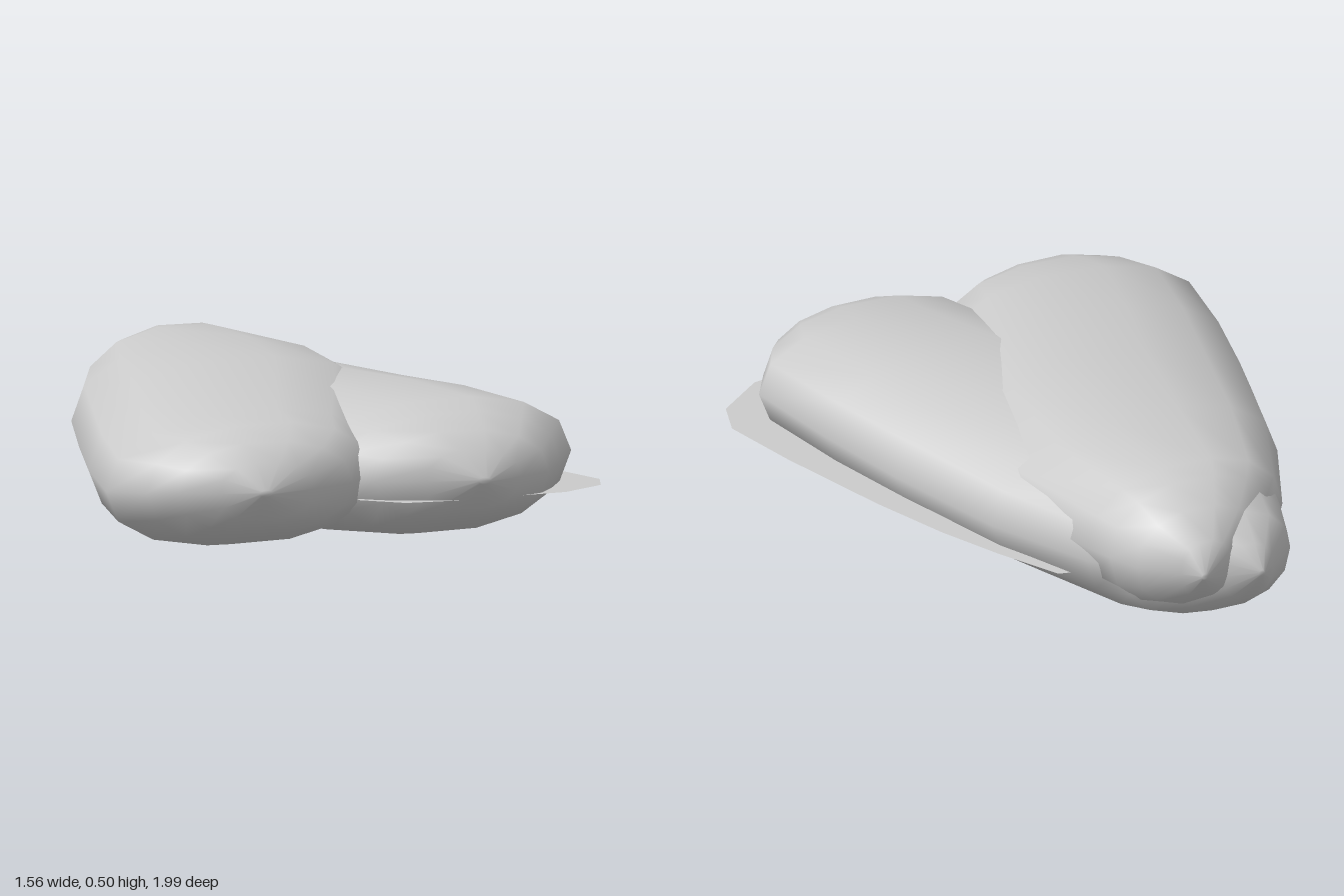
import * as THREE from 'three';

const SIDES = 14;
const material = new THREE.MeshStandardMaterial({ color: 0xcccccc });
const thinMaterial = new THREE.MeshStandardMaterial({ color: 0xcccccc, side: THREE.DoubleSide });

// Rounded cross-sections from back tip to front tip: [z, xMin, xMax, centreY, halfHeight, roll].
const SECTIONS = [
  [-1, 0.04, 0.06, 0.265, 0.01, 0],
  [-0.96, -0.06, 0.11, 0.27, 0.09, 0],
  [-0.87, -0.2, 0.21, 0.272, 0.155, 0],
  [-0.77, -0.3, 0.25, 0.272, 0.2, 0],
  [-0.68, -0.37, 0.28, 0.272, 0.21, 0],
  [-0.35, -0.52, 0.37, 0.273, 0.222, 0.01],
  [0.05, -0.64, 0.34, 0.273, 0.227, 0.03],
  [0.35, -0.72, 0.22, 0.26, 0.221, 0.04],
  [0.67, -0.78, 0.08, 0.25, 0.2, 0.05],
  [0.8, -0.7, 0.02, 0.25, 0.18, 0.03],
  [0.89, -0.63, -0.08, 0.25, 0.14, 0],
  [0.95, -0.52, -0.22, 0.25, 0.09, 0],
  [0.99, -0.41, -0.37, 0.25, 0.01, 0],
];

// Superellipse power: below 1 squares off the section a little.
const soften = (v) => Math.sign(v) * Math.abs(v) ** 0.9;

function lobeGeometry() {
  const positions = [], index = [];
  for (const [z, xMin, xMax, centreY, halfHeight, roll] of SECTIONS) {
    const half = (xMax - xMin) / 2, middle = (xMax + xMin) / 2;
    for (let i = 0; i < SIDES; i++) {
      const a = (i / SIDES) * Math.PI * 2;
      const x = half * soften(Math.cos(a));
      positions.push(middle + x, centreY + halfHeight * soften(Math.sin(a)) + roll * x, z);
    }
  }
  for (let r = 0; r < SECTIONS.length - 1; r++) {
    for (let i = 0; i < SIDES; i++) {
      const a = r * SIDES + i, b = r * SIDES + (i + 1) % SIDES;
      index.push(a, b, a + SIDES, b, b + SIDES, a + SIDES);
    }
  }
  // Close both tips with a fan.
  const last = (SECTIONS.length - 1) * SIDES;
  for (let i = 1; i < SIDES - 1; i++) {
    index.push(0, i + 1, i, last, last + i, last + i + 1);
  }
  const geometry = new THREE.BufferGeometry();
  geometry.setAttribute('position', new THREE.Float32BufferAttribute(positions, 3));
  geometry.setIndex(index);
  geometry.computeVertexNormals();
  return geometry;
}

export function createModel() {
  const model = new THREE.Group();
  model.name = 'crossedLobes';

  // Upper lobe, running from the back to the front right corner.
  const geometry = lobeGeometry();
  const upper = new THREE.Mesh(geometry, material);
  upper.name = 'upperLobe';

  // Lower lobe: the same form turned half a turn about the long axis.
  const lower = new THREE.Mesh(geometry, material);
  lower.name = 'lowerLobe';
  lower.rotation.z = Math.PI;
  lower.position.set(-0.09, 0.5, 0);

  // Thin, slightly tilted sheet that shows as a rim around the lower lobe.
  const outline = [
    [-0.05, -0.6], [0.2, -0.62], [0.33, -0.59], [0.43, -0.4], [0.52, -0.2], [0.61, 0.05],
    [0.72, 0.42], [0.78, 0.67], [0.74, 0.79], [0.59, 0.9], [0.2, 0.97], [0.06, 0.97],
    [-0.05, 0.87], [-0.05, 0.5], [-0.1, 0],
  ];
  const shape = new THREE.Shape(outline.map(([x, z]) => new THREE.Vector2(x, -z)));
  const sheet = new THREE.Mesh(new THREE.ShapeGeometry(shape).rotateX(-Math.PI / 2), thinMaterial);
  sheet.name = 'rimSheet';
  sheet.position.y = 0.173;
  sheet.rotation.set(-0.022, 0, -0.011);

  model.add(upper, lower, sheet);
  return model;
}
